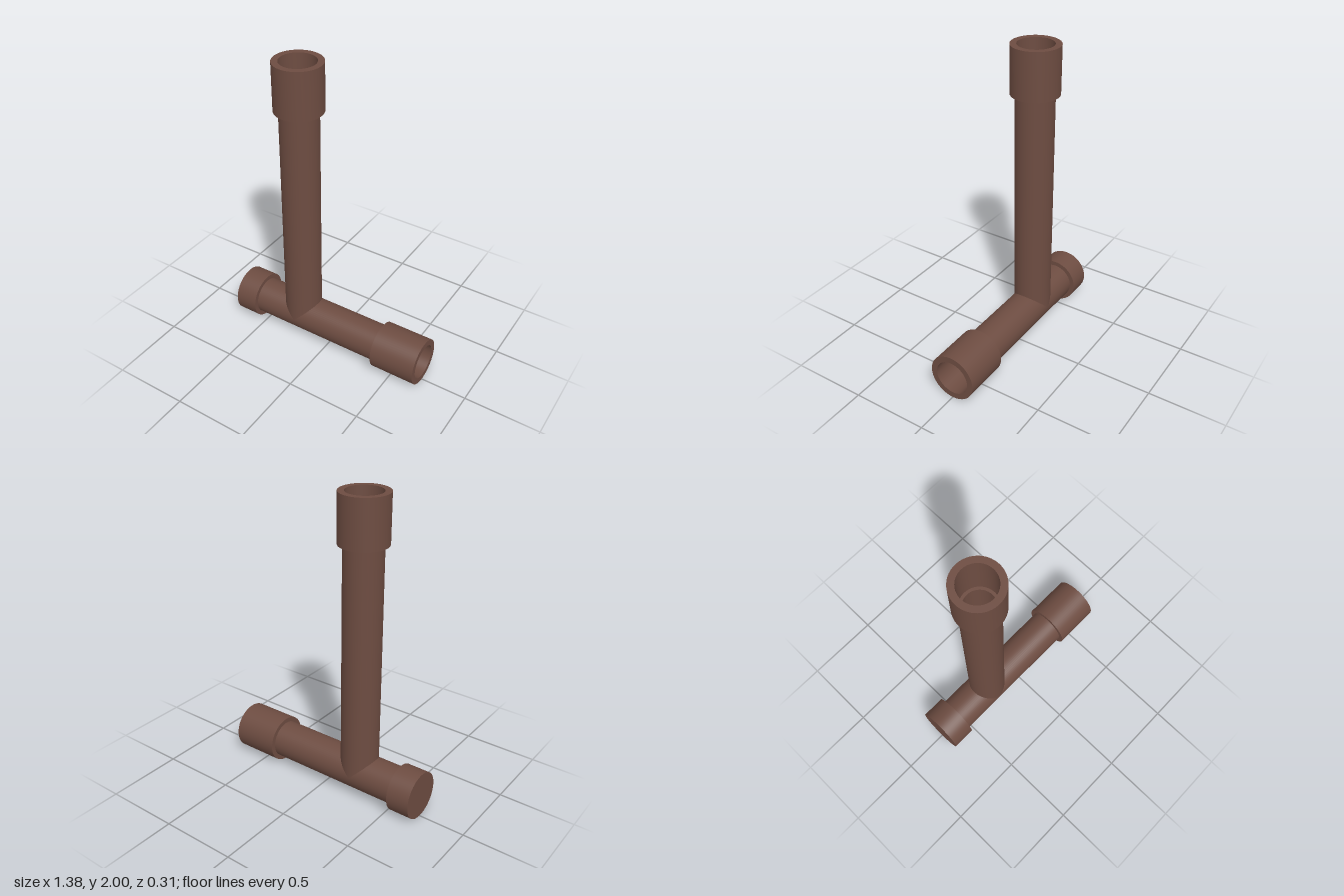
import * as THREE from 'three';
import { toCreasedNormals } from 'three/addons/utils/BufferGeometryUtils.js';

const U = 2 / 13;              // collar radius, the module of all lengths
const PIPE = 0.8 * U, BORE = 0.62 * U, SOCKET = 0.74 * U;

export function createModel() {
  const group = new THREE.Group();
  const brown = new THREE.MeshStandardMaterial({ color: 0x6d4c41 });
  brown.name = 'brown';

  // Turn a profile of [radius, height] pairs, keeping its corners sharp
  function turned(name, profile, parent) {
    const points = profile.map(([r, y]) => new THREE.Vector2(r, y));
    const geometry = toCreasedNormals(new THREE.LatheGeometry(points, 64), 0.6);
    const mesh = new THREE.Mesh(geometry, brown);
    mesh.name = name;
    parent.add(mesh);
  }

  // Hollow pipe with flat ring ends
  const pipe = (name, a, b, parent) => turned(name,
    [[BORE, a], [PIPE, a], [PIPE, b], [BORE, b], [BORE, a]], parent);

  // Open collar with a socket wider than the pipe bore
  const collar = (name, a, b, parent) => turned(name,
    [[BORE, a], [U, a], [U, b], [SOCKET, b], [SOCKET, a + 0.002], [BORE, a + 0.002], [BORE, a]], parent);

  // Lying run: closed cap at its right end, open collar at its left
  const run = new THREE.Group();
  run.name = 'horizontalRun';
  run.rotation.z = -Math.PI / 2;
  run.position.set(-4.5 * U, U, 0);
  pipe('horizontalPipe', U, 7 * U, run);
  collar('sideCollar', 7 * U, 9 * U, run);
  turned('endCap', [[0, 0], [U, 0], [U, U], [BORE, U], [BORE, 0.25 * U], [0, 0.25 * U]], run);

  // Standing branch, starting at the axis of the run
  const branch = new THREE.Group();
  branch.name = 'verticalBranch';
  branch.position.set(-1.5 * U, U, 0);
  pipe('verticalPipe', 0, 10 * U, branch);
  collar('topCollar', 10 * U, 12 * U, branch);

  group.add(run, branch);
  return group;
}
